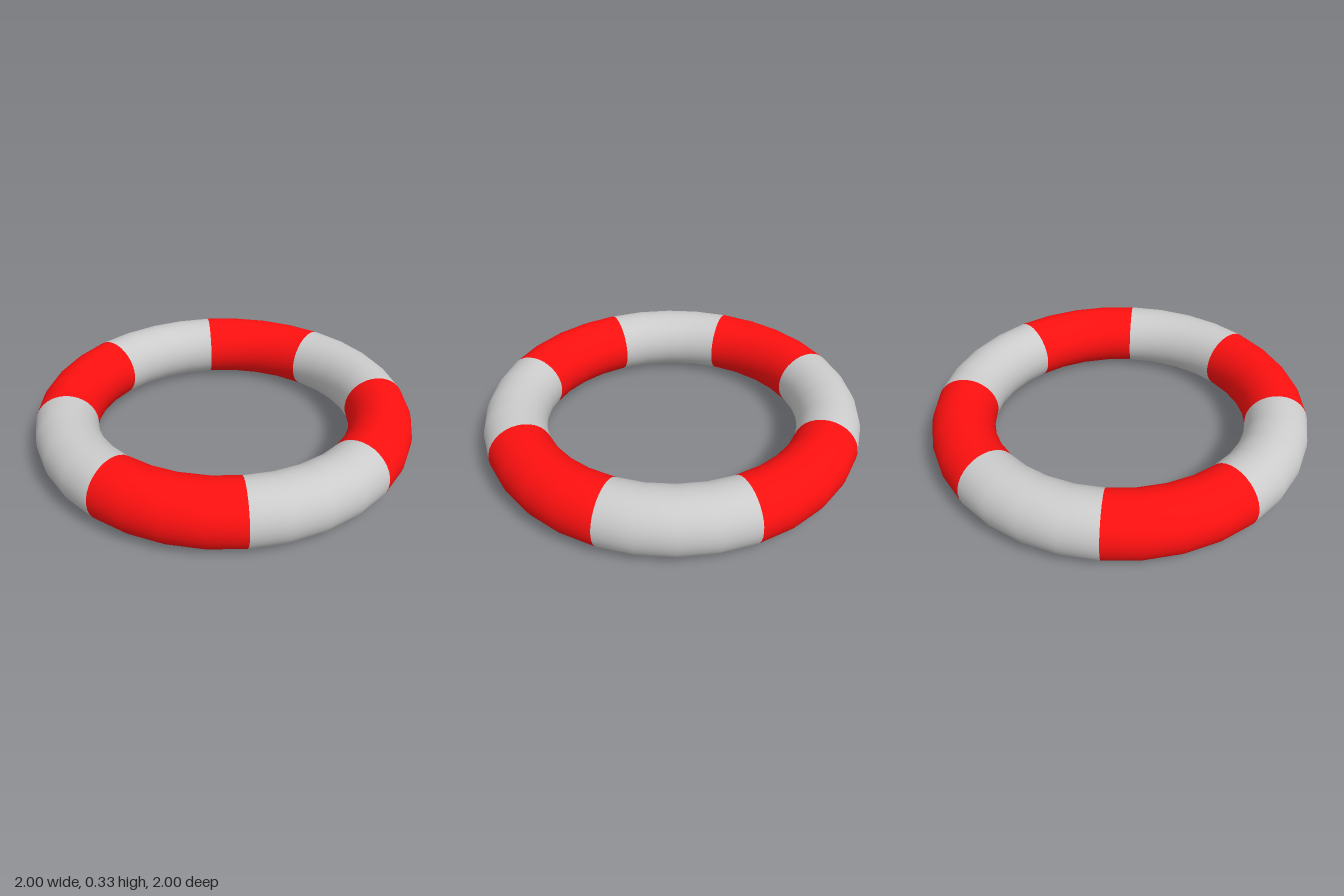
import * as THREE from 'three';

export function createModel() {
  const group = new THREE.Group();
  group.name = 'lifeRing';

  const tube = 0.164;
  const ring = 1 - tube;
  const grey = new THREE.MeshStandardMaterial({ color: 0xcccccc });
  const red = new THREE.MeshStandardMaterial({ color: 0xff1010 });

  // One eighth of the ring, lying flat and centred on +x
  const section = new THREE.TorusGeometry(ring, tube, 32, 4, Math.PI / 4);
  section.rotateZ(-Math.PI / 8);
  section.rotateX(-Math.PI / 2);
  section.translate(0, tube, 0);

  // Alternate plain sections and red bands around the ring
  for (let i = 0; i < 8; i++) {
    const isBand = i % 2 === 1;
    const mesh = new THREE.Mesh(section, isBand ? red : grey);
    mesh.name = `${isBand ? 'redBand' : 'plainSection'}${Math.floor(i / 2) + 1}`;
    mesh.rotation.y = (i * Math.PI) / 4;
    group.add(mesh);
  }
  return group;
}
